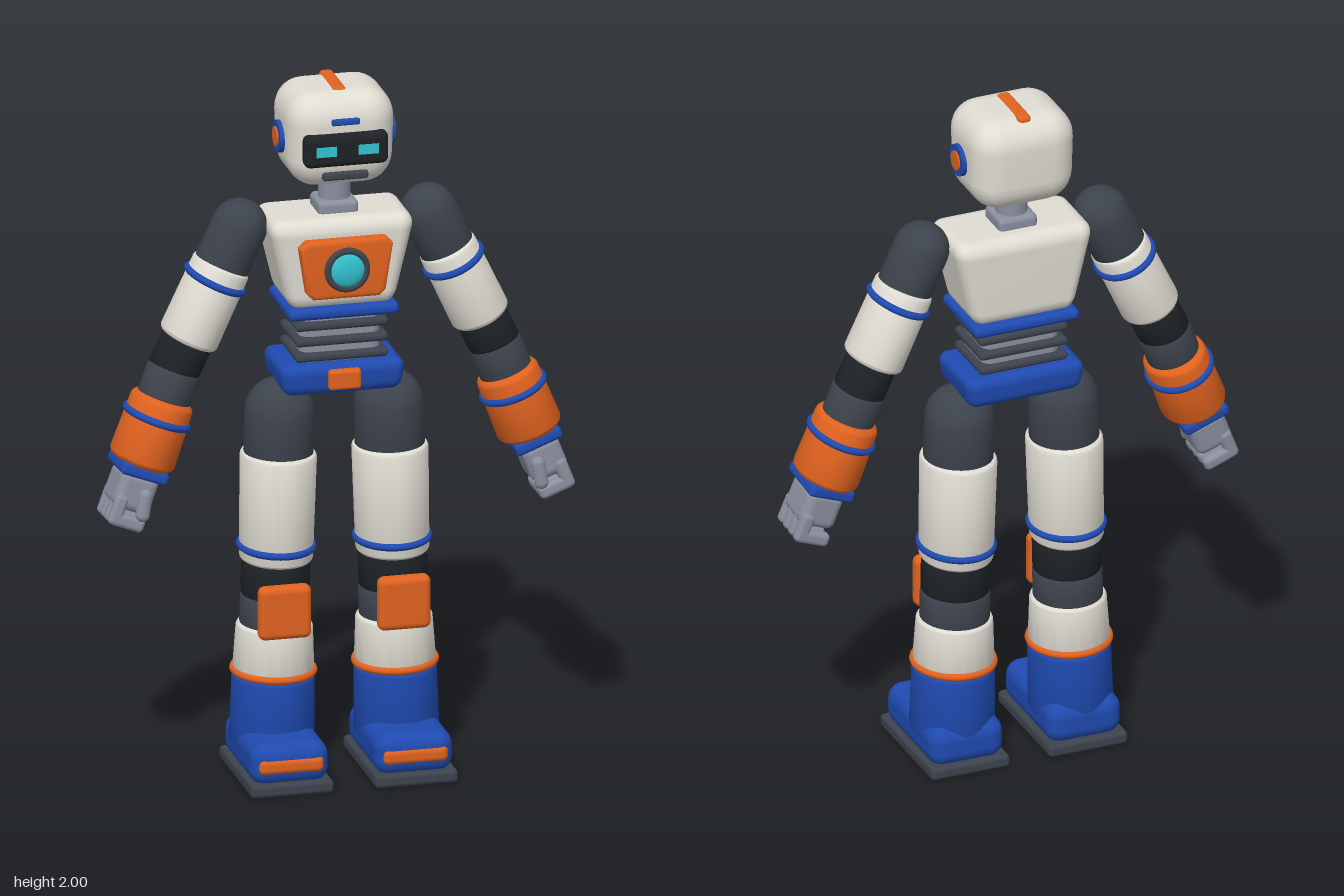
import * as THREE from 'three';
import { mergeVertices, toCreasedNormals } from 'three/addons/utils/BufferGeometryUtils.js';
import { RoundedBoxGeometry } from 'three/addons/geometries/RoundedBoxGeometry.js';

const mat = (name, color) => {
  const m = new THREE.MeshStandardMaterial({ color });
  m.name = name;
  return m;
};

export function createModel() {
  const white = mat('shell white', 0xdfdcd2);
  const orange = mat('orange', 0xe0621f);
  const blue = mat('blue', 0x1f4ab0);
  const dark = mat('dark grey', 0x3d434d);
  const black = mat('black', 0x1e2226);
  const steel = mat('steel grey', 0x8a8f9e);
  const cyan = mat('cyan', 0x32c3cf);

  const robot = new THREE.Group();
  robot.name = 'robot';

  const add = (parent, name, geo, material, x = 0, y = 0, z = 0) => {
    const m = new THREE.Mesh(geo, material);
    m.name = name;
    m.position.set(x, y, z);
    parent.add(m);
    return m;
  };
  const group = (parent, name) => {
    const g = new THREE.Group();
    g.name = name;
    parent.add(g);
    return g;
  };
  const rbox = (w, h, d, r) => new RoundedBoxGeometry(w, h, d, 4, r);

  // Rounded box whose lower end is scaled by kx and kz
  const taperedBox = (w, h, d, r, kx, kz) => {
    let g = rbox(w, h, d, r);
    const p = g.attributes.position;
    for (let i = 0; i < p.count; i++) {
      const t = 0.5 - p.getY(i) / h;
      p.setX(i, p.getX(i) * (1 + (kx - 1) * t));
      p.setZ(i, p.getZ(i) * (1 + (kz - 1) * t));
    }
    g.deleteAttribute('normal');
    g.deleteAttribute('uv');
    g = mergeVertices(g, 1e-5);
    g.computeVertexNormals();
    return g;
  };

  // Turned sleeve between distances d0 and d1 along a limb, with filleted rims
  const sleeve = (parent, name, material, rTop, rBottom, d0, d1, sz, fTop = 0.014, fBottom = 0.014) => {
    const pts = [new THREE.Vector2(0, -d1)];
    const n = 6;
    for (let i = 0; i <= n; i++) {
      const a = (i / n) * Math.PI / 2;
      pts.push(new THREE.Vector2(rBottom - fBottom + fBottom * Math.sin(a), -d1 + fBottom - fBottom * Math.cos(a)));
    }
    for (let i = 0; i <= n; i++) {
      const a = (i / n) * Math.PI / 2;
      pts.push(new THREE.Vector2(Math.max(0, rTop - fTop + fTop * Math.cos(a)), -d0 - fTop + fTop * Math.sin(a)));
    }
    pts.push(new THREE.Vector2(0, -d0));
    const m = add(parent, name, toCreasedNormals(new THREE.LatheGeometry(pts, 40), 0.6), material);
    m.scale.z = sz;
    return m;
  };
  const band = (parent, name, material, r, d, sz, tube = 0.011) => {
    const g = new THREE.TorusGeometry(r, tube, 10, 40).rotateX(Math.PI / 2);
    add(parent, name, g, material, 0, -d, 0).scale.z = sz;
  };
  // Limb frame: origin at a, local -y pointing towards b
  const limb = (parent, name, a, b) => {
    const g = group(parent, name);
    g.position.copy(a);
    g.quaternion.setFromUnitVectors(new THREE.Vector3(0, -1, 0), b.clone().sub(a).normalize());
    return g;
  };
  const V = (x, y, z) => new THREE.Vector3(x, y, z);
  const mid = -0.047;

  // Head
  const head = group(robot, 'head');
  add(head, 'headShell', taperedBox(0.312, 0.275, 0.275, 0.085, 0.95, 0.97), white, 0, 1.857, -0.052);
  add(head, 'crest', rbox(0.04, 0.03, 0.165, 0.012), orange, 0, 1.985, -0.065);
  add(head, 'visor', rbox(0.24, 0.095, 0.05, 0.02), black, 0, 1.843, 0.08);
  add(head, 'mouth', rbox(0.13, 0.024, 0.04, 0.008), dark, 0, 1.764, 0.068);
  add(head, 'foreheadBar', rbox(0.08, 0.018, 0.03, 0.006), blue, 0, 1.922, 0.078);
  for (const s of [1, -1]) {
    add(head, 'eye', new THREE.BoxGeometry(0.058, 0.028, 0.008), cyan, s * 0.06, 1.845, 0.105);
    add(head, 'earRing', new THREE.CylinderGeometry(0.046, 0.046, 0.03, 32).rotateZ(Math.PI / 2), blue, s * 0.15, 1.85, mid);
    add(head, 'earCap', new THREE.CylinderGeometry(0.028, 0.028, 0.03, 32).rotateZ(Math.PI / 2), orange, s * 0.155, 1.85, mid);
  }

  // Neck and torso
  add(robot, 'neck', new THREE.CylinderGeometry(0.045, 0.045, 0.14, 32), steel, 0, 1.68, mid);
  add(robot, 'neckBase', rbox(0.115, 0.045, 0.115, 0.015), steel, 0, 1.642, mid);
  add(robot, 'torso', taperedBox(0.425, 0.265, 0.235, 0.045, 0.7, 0.93), white, 0, 1.498, mid);
  add(robot, 'torsoRim', rbox(0.315, 0.035, 0.245, 0.016), blue, 0, 1.36, mid);

  // Chest plate with round lens
  const plate = new THREE.Shape([[-0.088, -0.07], [0.088, -0.07], [0.098, -0.06], [0.117, 0.06],
    [0.107, 0.07], [-0.107, 0.07], [-0.117, 0.06], [-0.098, -0.06]].map(([x, y]) => new THREE.Vector2(x, y)));
  const plateGeo = new THREE.ExtrudeGeometry(plate, { depth: 0.04, bevelSize: 0.015, bevelThickness: 0.01, bevelSegments: 4 });
  add(robot, 'chestPlate', toCreasedNormals(plateGeo, 0.6), orange, 0, 1.495, 0.05);
  add(robot, 'lensRing', new THREE.TorusGeometry(0.055, 0.01, 12, 40), dark, 0, 1.495, 0.102);
  add(robot, 'lens', new THREE.SphereGeometry(0.052, 32, 20), cyan, 0, 1.495, 0.1).scale.z = 0.38;

  // Ribbed waist and pelvis
  add(robot, 'waistCore', rbox(0.23, 0.17, 0.16, 0.03), steel, 0, 1.275, mid);
  for (let i = 0; i < 3; i++)
    add(robot, 'waistRib', rbox(0.265, 0.026, 0.19, 0.012), dark, 0, 1.315 - i * 0.045, mid);
  add(robot, 'pelvis', taperedBox(0.36, 0.09, 0.235, 0.03, 0.93, 0.93), blue, 0, 1.163, mid);
  add(robot, 'buckle', rbox(0.092, 0.058, 0.03, 0.01), orange, 0, 1.166, 0.07);

  for (const s of [1, -1]) {
    const side = s > 0 ? 'left' : 'right';

    // Arm
    const arm = group(robot, side + 'Arm');
    const shoulder = V(s * 0.27, 1.597, mid), elbow = V(s * 0.455, 1.2, mid), fist = V(s * 0.608, 0.8, -0.024);
    const upper = limb(arm, 'upperArm', shoulder, elbow);
    sleeve(upper, 'shoulder', dark, 0.078, 0.078, -0.078, 0.15, 1.04, 0.078);
    sleeve(upper, 'upperArmShell', white, 0.082, 0.084, 0.115, 0.352, 1.15);
    band(upper, 'upperArmBand', blue, 0.081, 0.165, 1.15);
    sleeve(upper, 'elbow', black, 0.073, 0.073, 0.34, 0.46, 1.05);
    const fore = limb(arm, 'forearm', elbow, fist);
    sleeve(fore, 'forearmCore', dark, 0.075, 0.075, -0.005, 0.12, 1.05);
    sleeve(fore, 'forearmShell', orange, 0.089, 0.093, 0.088, 0.285, 1.15, 0.022, 0.022);
    band(fore, 'forearmBand', blue, 0.088, 0.147, 1.15);
    add(fore, 'wristCuff', rbox(0.14, 0.035, 0.165, 0.012), blue, 0, -0.298, 0);

    // Hand: palm, four curled fingers and a thumb
    const hand = group(fore, 'hand');
    add(hand, 'palm', rbox(0.112, 0.11, 0.135, 0.025), steel, 0, -0.36, 0);
    for (let i = 0; i < 4; i++) {
      const z = (i - 1.5) * 0.037;
      add(hand, 'fingerBase', rbox(0.038, 0.09, 0.034, 0.014), steel, s * 0.034, -0.418, z);
      add(hand, 'fingerTip', rbox(0.1, 0.04, 0.034, 0.014), steel, s * -0.003, -0.444, z);
    }
    const thumb = add(hand, 'thumb', new THREE.CapsuleGeometry(0.02, 0.055, 6, 14), steel, s * -0.03, -0.385, 0.066);
    thumb.rotation.z = s * -0.2;

    // Leg
    const leg = limb(robot, side + 'Leg', V(s * 0.156, 1.047, mid), V(s * 0.178, 0.1, mid));
    sleeve(leg, 'hip', dark, 0.097, 0.097, -0.097, 0.15, 1.05, 0.097);
    sleeve(leg, 'thighShell', white, 0.106, 0.102, 0.115, 0.43, 1.13);
    band(leg, 'thighBand', blue, 0.1, 0.388, 1.13);
    sleeve(leg, 'kneeJoint', black, 0.096, 0.096, 0.42, 0.535, 1.04);
    sleeve(leg, 'kneeCore', dark, 0.097, 0.097, 0.525, 0.64, 1.04);
    sleeve(leg, 'shinShell', white, 0.107, 0.113, 0.612, 0.755, 1.03);
    band(leg, 'shinBand', orange, 0.111, 0.75, 1.04);
    sleeve(leg, 'bootShaft', blue, 0.115, 0.118, 0.757, 0.96, 1.05);
    add(robot, side + 'KneePad', rbox(0.15, 0.155, 0.046, 0.02), orange, s * 0.17, 0.498, 0.065);

    // Foot
    const foot = group(robot, side + 'Foot');
    foot.position.set(s * 0.177, 0, 0.004);
    add(foot, 'shoe', rbox(0.222, 0.122, 0.352, 0.045), blue, 0, 0.085, 0);
    add(foot, 'sole', rbox(0.236, 0.038, 0.372, 0.012), dark, 0, 0.019, 0);
    add(foot, 'toeCap', rbox(0.185, 0.048, 0.05, 0.018), orange, 0, 0.085, 0.156);
  }
  return robot;
}
